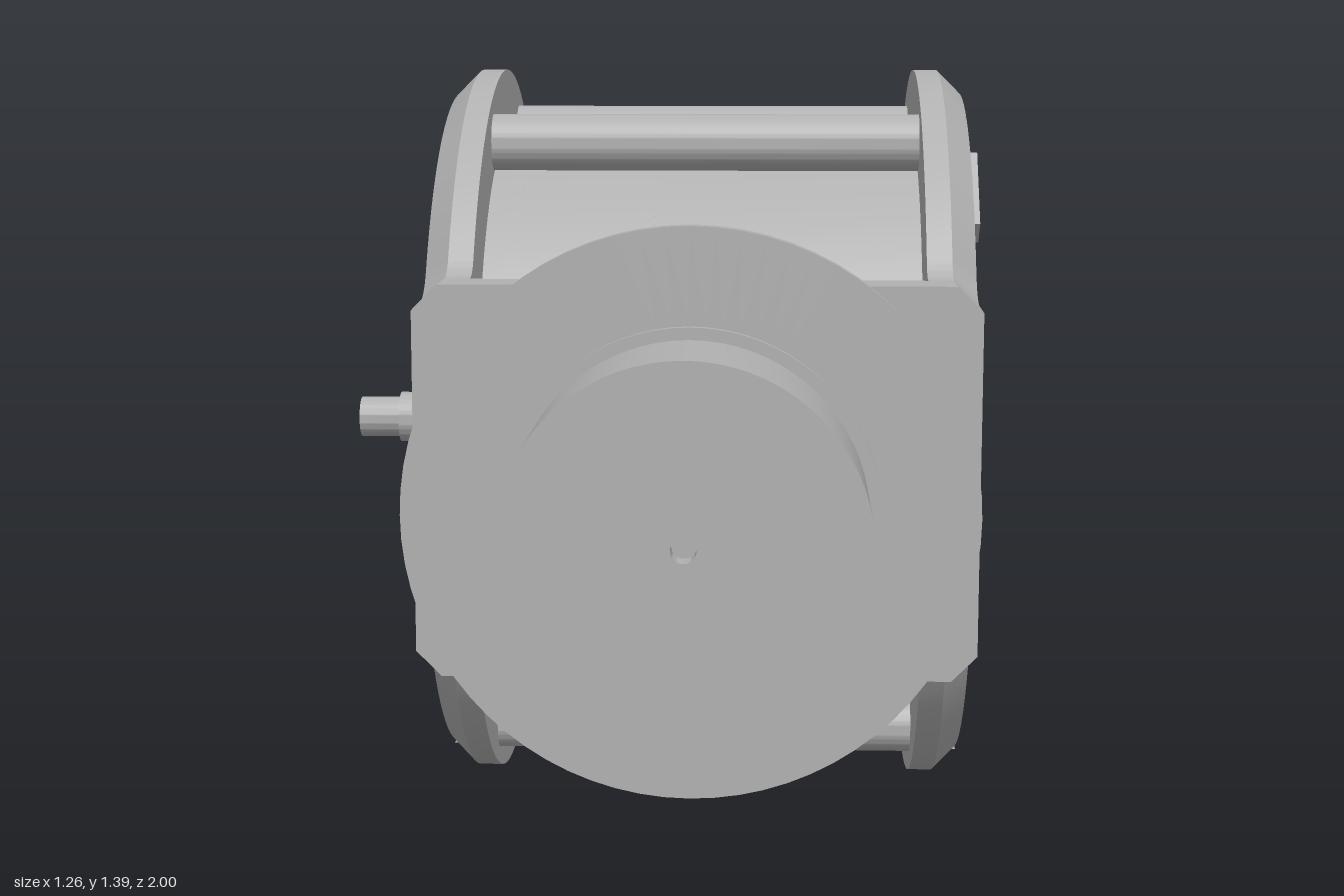
import * as THREE from 'three';
import { toCreasedNormals } from 'three/addons/utils/BufferGeometryUtils.js';

const V = (x, y) => new THREE.Vector2(x, y);

export function createModel() {
  const metal = new THREE.MeshStandardMaterial({ color: 0xb0b0b0 });
  metal.name = 'grey metal';
  const model = new THREE.Group();
  model.name = 'gearHousing';

  const add = (parent, name, geometry, crease = 0.5) => {
    const mesh = new THREE.Mesh(toCreasedNormals(geometry, crease), metal);
    mesh.name = name;
    parent.add(mesh);
    return mesh;
  };
  const circle = (x, y, r) => new THREE.Path().absarc(x, y, r, 0, Math.PI * 2, false);
  const extrude = (shape, depth, z0) =>
    new THREE.ExtrudeGeometry(shape, { depth, bevelEnabled: false, curveSegments: 40 }).translate(0, 0, z0);
  const lathe = (pairs) => new THREE.LatheGeometry(pairs.map(([r, h]) => V(r, h)), 72);

  // Drum: everything turned about the x axis
  const drum = new THREE.Group();
  drum.name = 'drum';
  drum.position.set(0.07, 0.695, -0.305);
  model.add(drum);

  // Flange outline: a circle with a filleted neck, inset by d
  const R = 0.695, H = 0.345, F = 0.06, NECK = 0.745, CHAMFER = 0.045;
  const zc = Math.sqrt((R + F) ** 2 - (H + F) ** 2);
  const a = Math.atan2(H + F, zc);
  const outline = (d) => {
    const pts = [];
    const arc = (cx, cy, r, from, to, n) => {
      for (let i = 0; i <= n; i++) {
        const t = from + (to - from) * i / n;
        pts.push(V(cx + r * Math.cos(t), cy + r * Math.sin(t)));
      }
    };
    arc(0, 0, R - d, a, Math.PI * 2 - a, 80);
    arc(zc, -H - F, F + d, Math.PI - a, Math.PI / 2, 8);
    pts.push(V(NECK, d - H), V(NECK, H - d));
    arc(zc, H + F, F + d, -Math.PI / 2, a - Math.PI, 8);
    return pts;
  };

  const boltSpots = Array.from({ length: 8 }, (_, k) => {
    const t = Math.PI / 8 + k * Math.PI / 4;
    return V(0.61 * Math.cos(t), 0.61 * Math.sin(t));
  });

  const makeFlange = (name, bore) => {
    const flange = new THREE.Group();
    flange.name = name;
    const plate = (d) => {
      const shape = new THREE.Shape(outline(d));
      boltSpots.forEach((p) => shape.holes.push(circle(p.x, p.y, 0.048)));
      [-0.18, 0, 0.18].forEach((y) => shape.holes.push(circle(0.695, y, 0.021)));
      if (bore) shape.holes.push(circle(0, 0, bore));
      return shape;
    };
    add(flange, 'flangePlate', extrude(plate(0), CHAMFER, 0.40));
    add(flange, 'flangeFace', extrude(plate(CHAMFER), CHAMFER, 0.40 + CHAMFER));
    // Sloping rim between the two outlines
    const A = outline(0), B = outline(CHAMFER), pos = [], idx = [], n = A.length;
    for (let i = 0; i < n; i++) {
      const j = (i + 1) % n;
      pos.push(A[i].x, A[i].y, 0.445, B[i].x, B[i].y, 0.49);
      idx.push(2 * i, 2 * j, 2 * j + 1, 2 * i, 2 * j + 1, 2 * i + 1);
    }
    const rim = new THREE.BufferGeometry();
    rim.setAttribute('position', new THREE.Float32BufferAttribute(pos, 3));
    rim.setIndex(idx);
    add(flange, 'flangeChamfer', rim);
    drum.add(flange);
    return flange;
  };
  makeFlange('rightFlange', 0).rotation.y = -Math.PI / 2;
  const leftFlange = makeFlange('leftFlange', 0.455);
  leftFlange.rotation.set(Math.PI, -Math.PI / 2, 0, 'YXZ');

  // Shell with a window at top and bottom
  const shellPart = (name, x0, x1, from, to) => {
    const shape = new THREE.Shape();
    shape.absarc(0, 0, 0.56, from, to, false);
    if (to - from > 6) shape.holes.push(circle(0, 0, 0.5));
    else shape.absarc(0, 0, 0.5, to, from, true);
    add(drum, name, extrude(shape, x1 - x0, x0).rotateY(Math.PI / 2));
  };
  const half = Math.PI / 2 - 0.262;
  shellPart('shellEnd', -0.41, -0.34, 0, Math.PI * 2);
  shellPart('shellMain', -0.09, 0.41, 0, Math.PI * 2);
  shellPart('shellBack', -0.34, -0.09, -half, half);
  shellPart('shellFront', -0.34, -0.09, Math.PI - half, Math.PI + half);

  // Hollow bolt sleeves
  boltSpots.forEach((p) => {
    const shape = new THREE.Shape().absarc(0, 0, 0.053, 0, Math.PI * 2, false);
    shape.holes.push(circle(0, 0, 0.03));
    const sleeve = add(drum, 'boltSleeve', extrude(shape, 0.89, -0.445).rotateY(Math.PI / 2));
    sleeve.position.set(0, p.y, p.x);
  });

  // Stepped bore, a cup open to the left
  add(drum, 'boreCup', lathe([
    [0, -0.27], [0.42, -0.27], [0.42, 0.3], [0.48, 0.3], [0.48, 0.41], [0.455, 0.41], [0.455, 0.489],
    [0.44, 0.475], [0.44, 0.38], [0.37, 0.38], [0.37, 0.42], [0.30, 0.42], [0.30, -0.17],
    [0.02, -0.17], [0.02, -0.21], [0, -0.21],
  ]).rotateZ(-Math.PI / 2));

  // Stepped shaft and its inner boss
  add(drum, 'shaft', lathe([
    [0, -0.70], [0.04, -0.70], [0.04, -0.62], [0.05, -0.62], [0.05, -0.42],
    [0.07, -0.42], [0.07, -0.313], [0, -0.313],
  ]).rotateZ(-Math.PI / 2));

  // Pad on the back of the shell
  add(drum, 'backPad', new THREE.BoxGeometry(0.5, 0.28, 0.12)).position.set(0.16, 0, -0.565);

  // Key bar on the left flange
  const key = add(drum, 'keyBar', new THREE.BoxGeometry(0.09, 0.19, 0.065));
  key.position.set(0.515, 0.42, -0.382);
  key.rotation.x = -0.72;

  // Plate joining the two flange necks
  add(model, 'frontPlate', new THREE.BoxGeometry(0.81, 0.69, 0.1)).position.set(0.07, 0.695, 0.39);

  // Front spindle: stepped discs about the z axis
  const spindle = new THREE.Group();
  spindle.name = 'spindle';
  spindle.position.set(0.07, 0.695, 0);
  model.add(spindle);
  add(spindle, 'spindleCollar', lathe([
    [0, 0.43], [0.34, 0.43], [0.34, 0.515], [0.265, 0.515], [0.265, 0.60], [0, 0.60],
  ]).rotateX(Math.PI / 2));
  const ring = new THREE.Shape().absarc(0, 0, 0.43, 0, Math.PI * 2, false);
  for (let k = 0; k < 8; k++) {
    const t = Math.PI / 8 + k * Math.PI / 4;
    ring.holes.push(circle(0.35 * Math.cos(t), 0.35 * Math.sin(t), 0.02));
  }
  add(spindle, 'boltRing', extrude(ring, 0.125, 0.58));
  add(spindle, 'spindleNose', lathe([
    [0, 0.703], [0.47, 0.703], [0.47, 0.735], [0.31, 0.735], [0.31, 0.75], [0.29, 0.75],
    [0.29, 1], [0.02, 1], [0.02, 0.96], [0, 0.96],
  ]).rotateX(Math.PI / 2));

  return model;
}
